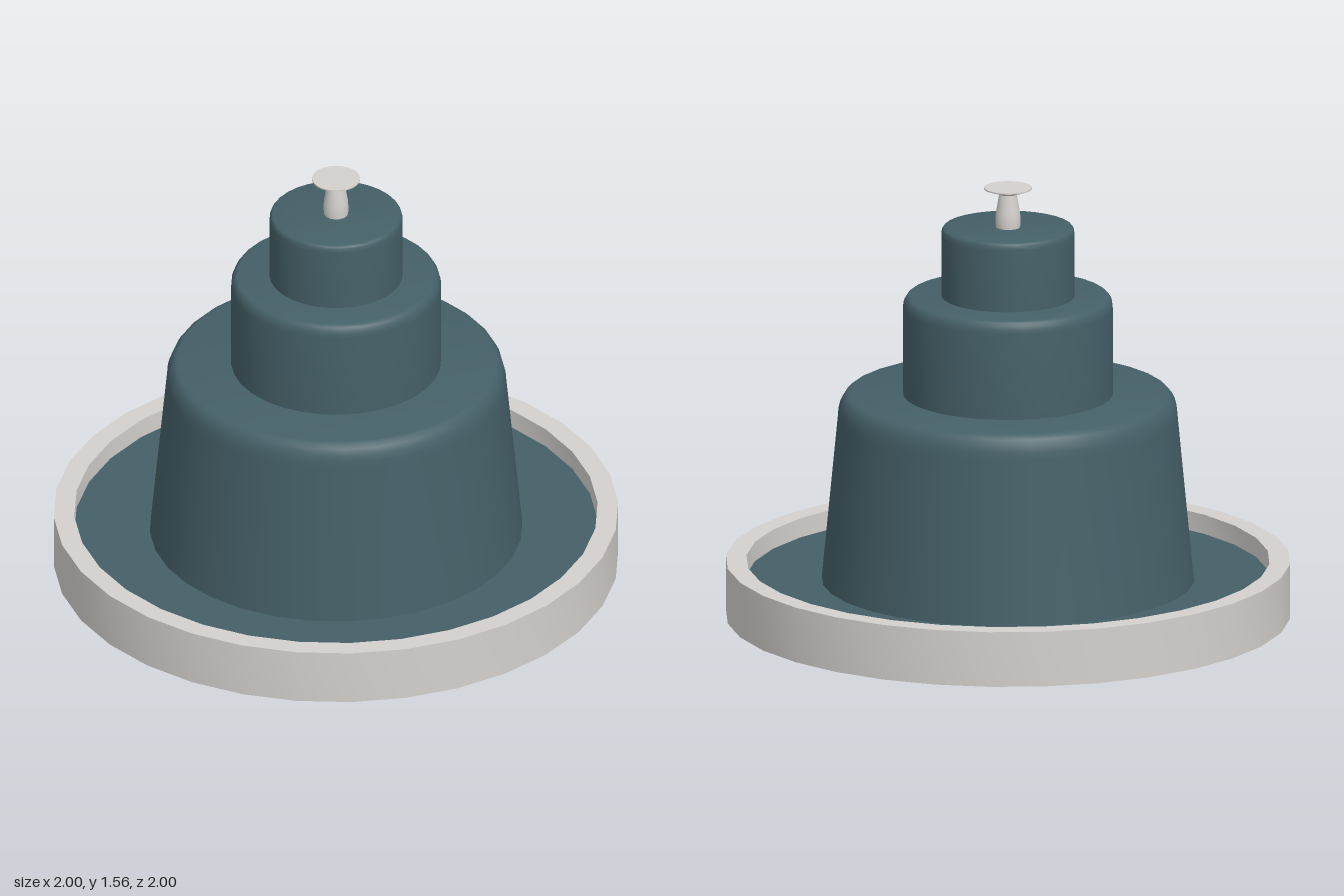
import * as THREE from 'three';
import { toCreasedNormals } from 'three/addons/utils/BufferGeometryUtils.js';

const stone = new THREE.MeshStandardMaterial({ color: 0xd3d0cd });
stone.name = 'pale stone';
const teal = new THREE.MeshStandardMaterial({ color: 0x456068 });
teal.name = 'dark teal';

// Revolve a bottom-to-top profile of [radius, height] pairs
function turned(name, profile, material, segments = 32) {
  const points = profile.map(([r, y]) => new THREE.Vector2(r, y));
  const geometry = toCreasedNormals(new THREE.LatheGeometry(points, segments), 0.6);
  const mesh = new THREE.Mesh(geometry, material);
  mesh.name = name;
  return mesh;
}

// Tier with a rounded shoulder and a flat top
function tier(name, bottomRadius, bottomY, topRadius, topY, roundX, roundY) {
  const profile = [[bottomRadius, bottomY]];
  for (let i = 0; i <= 5; i++) {
    const a = (i / 5) * Math.PI / 2;
    profile.push([
      topRadius - roundX * (1 - Math.cos(a)),
      topY - roundY * (1 - Math.sin(a)),
    ]);
  }
  profile.push([0, topY]);
  return turned(name, profile, teal);
}

export function createModel() {
  const model = new THREE.Group();
  model.name = 'tieredFountain';
  const floorY = 0.13;

  // Round basin with a raised rim, and the surface inside it
  model.add(turned('basin', [[0, 0], [1, 0], [1, 0.2], [0.927, 0.2], [0.927, floorY - 0.02]], stone));
  model.add(turned('basinFloor', [[0.927, floorY], [0, floorY]], teal));

  // Three stacked tiers
  model.add(tier('lowerTier', 0.66, floorY, 0.603, 0.81, 0.045, 0.09));
  model.add(tier('middleTier', 0.372, 0.8, 0.372, 1.168, 0.027, 0.045));
  model.add(tier('upperTier', 0.236, 1.16, 0.236, 1.418, 0.012, 0.025));

  // Spout with a flared disc on top
  model.add(turned('spout', [[0.042, 1.41], [0.045, 1.44], [0.043, 1.47], [0.036, 1.51], [0.03, 1.55]], stone, 16));
  model.add(turned('spoutDisc', [[0, 1.54], [0.035, 1.54], [0.085, 1.558], [0.085, 1.563], [0, 1.563]], stone));

  return model;
}
